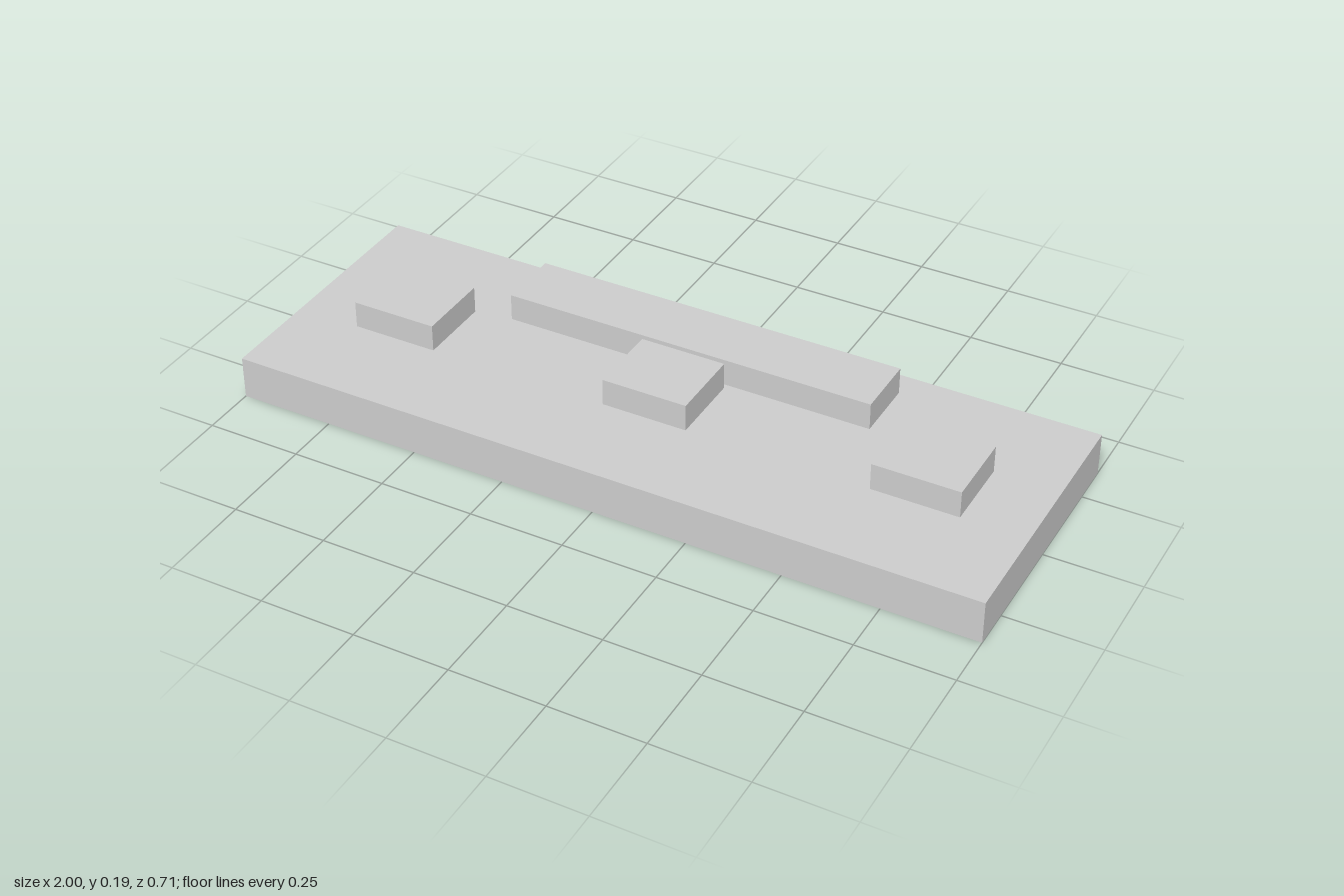
import * as THREE from 'three';

const BASE_HEIGHT = 0.114;
const RAISED_HEIGHT = 0.072;

export function createModel() {
  const group = new THREE.Group();
  const material = new THREE.MeshStandardMaterial({ color: 0xcccccc, flatShading: true });

  // Adds a box resting on the given height
  function addBox(name, width, height, depth, x, bottom, z) {
    const mesh = new THREE.Mesh(new THREE.BoxGeometry(width, height, depth), material);
    mesh.name = name;
    mesh.position.set(x, bottom + height / 2, z);
    group.add(mesh);
  }

  // Base slab
  addBox('base', 2, BASE_HEIGHT, 0.714, 0, 0, 0);

  // Three raised pads along the middle
  const pads = { rightPad: -0.714, centrePad: 0, leftPad: 0.714 };
  for (const [name, x] of Object.entries(pads)) {
    addBox(name, 0.228, RAISED_HEIGHT, 0.2, x, BASE_HEIGHT, 0);
  }

  // Long bar behind the pads
  addBox('rearBar', 1, RAISED_HEIGHT, 0.171, 0, BASE_HEIGHT, -0.2);

  return group;
}
